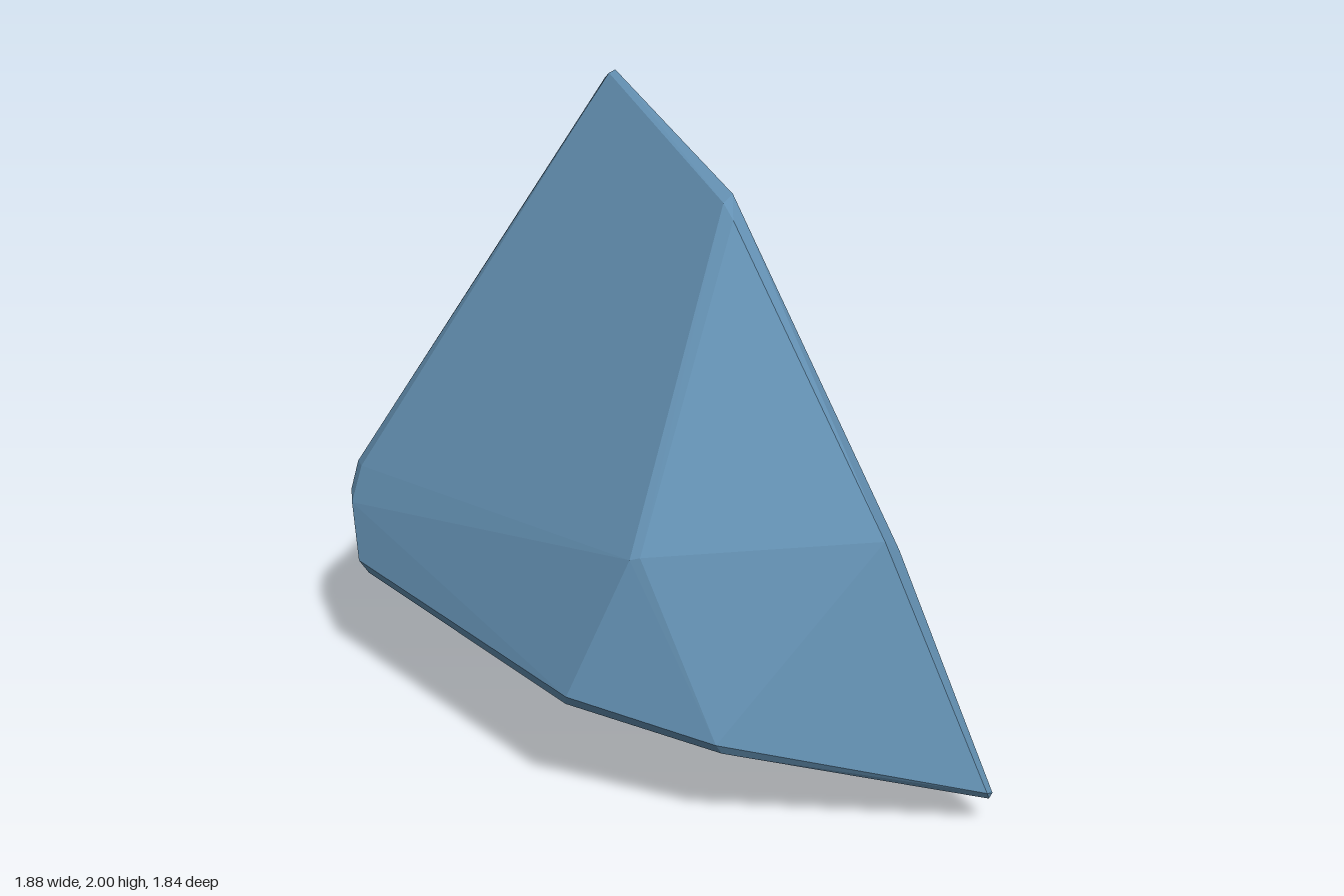
import * as THREE from 'three';
import { ConvexGeometry } from 'three/addons/geometries/ConvexGeometry.js';

// Corner clusters of the cut stone; each cluster forms one bevelled corner.
const corners = {
  peak: [[-0.08, 2, -0.41], [-0.1, 1.99, -0.41], [-0.11, 1.96, -0.45]],
  shoulder: [[0.21, 1.84, 0.27], [0.18, 1.82, 0.29], [0.205, 1.78, 0.33]],
  brow: [[0.66, 0.88, 0.74], [0.61, 0.93, 0.78]],
  frontRidge: [[-0.14, 0.89, 0.75], [-0.11, 0.9, 0.76]],
  frontFoot: [[0.94, 0.13, 0.9], [0.92, 0.14, 0.92], [0.93, 0.11, 0.9]],
  frontRim: [
    [0.1, 0.35, 0.92], [0.12, 0.31, 0.9],
    [-0.33, 0.43, 0.73], [-0.33, 0.39, 0.7],
  ],
  backFoot: [[0.41, 0.02, -0.7], [0.4, 0, -0.69], [0.38, 0.03, -0.71]],
  backTop: [[-0.09, 1.49, -0.91], [-0.12, 1.48, -0.91], [-0.12, 1.44, -0.92], [-0.095, 1.44, -0.915]],
  sideTip: [
    [-0.93, 0.44, -0.2], [-0.9, 0.4, -0.19], [-0.945, 0.6, -0.3], [-0.945, 0.62, -0.36],
    [-0.91, 0.71, -0.34], [-0.92, 0.7, -0.4], [-0.83, 0.7, -0.52], [-0.92, 0.6, -0.45],
    [-0.93, 0.44, -0.38], [-0.88, 0.42, -0.43], [-0.89, 0.375, -0.36], [-0.86, 0.365, -0.42],
  ],
};

export function createModel() {
  const group = new THREE.Group();
  group.name = 'rock';
  const stone = new THREE.MeshStandardMaterial({ color: 0x6491b3 });
  stone.name = 'blue stone';

  // Flat facets stretched around the bevelled corners
  const points = Object.values(corners).flat().map((p) => new THREE.Vector3(...p));
  const body = new THREE.Mesh(new ConvexGeometry(points), stone);
  body.name = 'facetedStone';
  group.add(body);
  return group;
}
